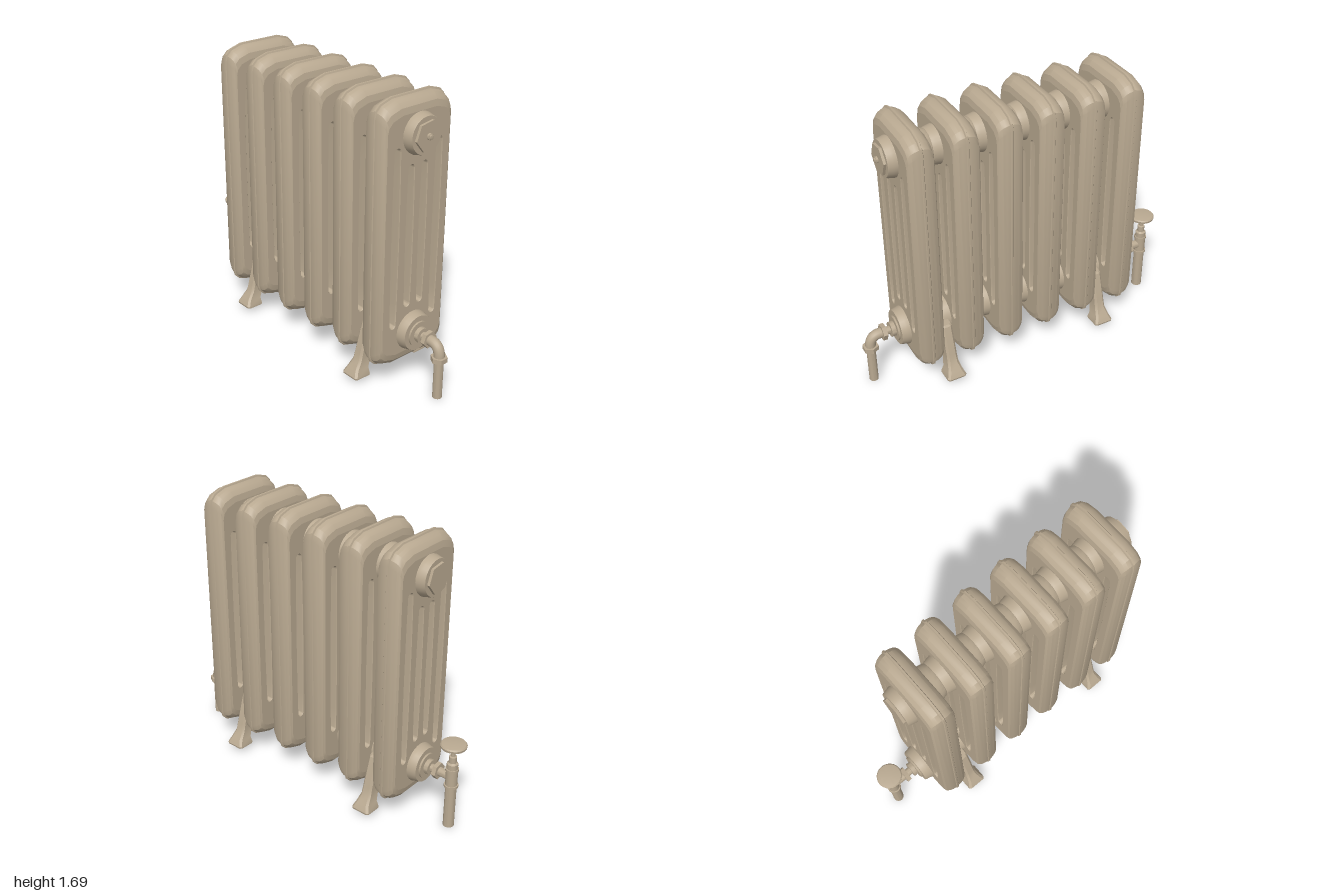
import * as THREE from 'three';
import { toCreasedNormals } from 'three/addons/utils/BufferGeometryUtils.js';

const iron = new THREE.MeshStandardMaterial({ color: 0xb9a991 });
iron.name = 'warm grey iron';

const CX = 0.018, PITCH = 0.256, COUNT = 6, HALF = 0.078;
const HUB_Y = [1.49, 0.333];
const MID_Y = 0.91;

function add(parent, name, geometry, x = 0, y = 0, z = 0) {
  const mesh = new THREE.Mesh(geometry, iron);
  mesh.name = name;
  mesh.position.set(x, y, z);
  parent.add(mesh);
  return mesh;
}

// Solid of revolution; points are [radius, distance along axis]
function turned(points, alongX = false, sides = 28) {
  const g = new THREE.LatheGeometry(points.map(p => new THREE.Vector2(p[0], p[1])), sides);
  if (alongX) g.rotateZ(-Math.PI / 2);
  return toCreasedNormals(g, 0.5);
}

// Skin over equal-length rings of [x, y, z]
function loft(rings, capped) {
  const n = rings[0].length, index = [];
  for (let i = 0; i < rings.length - 1; i++) {
    for (let j = 0; j < n; j++) {
      const a = i * n + j, b = i * n + (j + 1) % n;
      index.push(a, b, b + n, a, b + n, a + n);
    }
  }
  const last = (rings.length - 1) * n;
  for (let j = 1; capped && j < n - 1; j++) {
    index.push(0, j + 1, j, last, last + j, last + j + 1);
  }
  const g = new THREE.BufferGeometry();
  g.setAttribute('position', new THREE.Float32BufferAttribute(rings.flat(2), 3));
  g.setIndex(index);
  return toCreasedNormals(g, 0.45);
}

// Rounded-corner outline of a section, inset separately in depth and height
function outline(insetZ, insetY) {
  const corner = [[0.25, 0.69], [0.24, 0.727], [0.21, 0.757], [0.135, 0.78]];
  const back = corner.slice().reverse();
  const all = [
    ...corner, ...back.map(([u, v]) => [-u, v]),
    ...corner.map(([u, v]) => [-u, -v]), ...back.map(([u, v]) => [u, -v]),
  ];
  return all.map(([u, v]) => [u * (1 - insetZ / 0.25), v * (1 - insetY / 0.78)]);
}

// Outer skin with a thin casting ridge round the middle
function sectionShell() {
  const half = [
    [0.005, 0, 0], [0.009, 0.005, 0.009], [0.03, 0.007, 0.014], [0.05, 0.011, 0.024],
    [0.07, 0.019, 0.048], [HALF, 0.03, 0.083],
  ];
  const profile = [...half.slice().reverse().map(([x, a, b]) => [-x, a, b]), ...half];
  return loft(profile.map(([x, a, b]) => outline(a, b).map(([u, v]) => [x, v, -u])), false);
}

// Side faces with four long slots, slightly fuller at mid height, cut right through
function sectionCore() {
  const shape = new THREE.Shape(outline(0.03, 0.083).map(p => new THREE.Vector2(...p)));
  const slots = [[0.148, 0.385, 1.44], [0.047, 0.49, 1.33]];
  const r = 0.023, swell = 0.034;
  for (const [z, low, high] of slots) {
    for (const s of [-1, 1]) {
      const c = s * z, top = high - MID_Y - r, bottom = low - MID_Y + r, mid = (top + bottom) / 2;
      const hole = new THREE.Path();
      hole.absarc(c, top, r, 0, Math.PI, false);
      hole.quadraticCurveTo(c - swell, mid, c - r, bottom);
      hole.absarc(c, bottom, r, Math.PI, 2 * Math.PI, false);
      hole.quadraticCurveTo(c + swell, mid, c + r, top);
      shape.holes.push(hole);
    }
  }
  const bevel = 0.012;
  const g = new THREE.ExtrudeGeometry(shape, {
    depth: 2 * (HALF - bevel), bevelThickness: bevel, bevelSize: 0.004,
    bevelSegments: 2, curveSegments: 8,
  });
  g.translate(0, 0, -(HALF - bevel));
  g.rotateY(Math.PI / 2);
  return toCreasedNormals(g, 0.5);
}

// One cradle leg, flaring down to a pad
function footLeg() {
  // [y, inner z, outer z, half width]
  const rows = [
    [0.03, 0.175, 0.275, 0.06], [0.04, 0.172, 0.277, 0.06], [0.075, 0.172, 0.258, 0.045],
    [0.12, 0.148, 0.225, 0.034], [0.17, 0.115, 0.212, 0.032], [0.3, 0.07, 0.175, 0.032],
    [0.345, 0.07, 0.16, 0.032], [0.355, 0.07, 0.15, 0.028],
  ];
  const c = 0.012;
  return loft(rows.map(([y, a, b, w]) => [
    [-w, y, a], [-w, y, b - c], [-w + c, y, b], [w - c, y, b], [w, y, b - c], [w, y, a],
  ]), true);
}

// Arched bar joining the two legs under the hub
function footBar() {
  const s = new THREE.Shape();
  s.moveTo(-0.15, 0.13);
  s.quadraticCurveTo(0, 0.25, 0.15, 0.13);
  s.lineTo(0.18, 0.22);
  s.lineTo(0.12, 0.28);
  s.lineTo(-0.12, 0.28);
  s.lineTo(-0.18, 0.22);
  s.closePath();
  const g = new THREE.ExtrudeGeometry(s, { depth: 0.056, bevelEnabled: false });
  g.translate(0, 0, -0.028);
  g.rotateY(Math.PI / 2);
  return toCreasedNormals(g, 0.5);
}

// Six-sided nut along x
function hexNut(r, length) {
  const g = new THREE.CylinderGeometry(r, r, length, 6);
  g.rotateZ(-Math.PI / 2);
  g.rotateX(0.15);
  return toCreasedNormals(g, 0.5);
}

export function createModel() {
  const model = new THREE.Group();
  model.name = 'columnRadiator';

  // Sections
  const shell = sectionShell(), core = sectionCore();
  const xs = Array.from({ length: COUNT }, (_, i) => CX + (i - (COUNT - 1) / 2) * PITCH);
  for (const x of xs) {
    const section = new THREE.Group();
    section.name = 'section';
    section.position.set(x, MID_Y, 0);
    add(section, 'sectionShell', shell);
    add(section, 'sectionCore', core);
    model.add(section);
  }

  // Hubs between neighbouring sections
  const hub = turned([
    [0.113, -0.055], [0.111, -0.045], [0.107, -0.025], [0.102, -0.004], [0.099, 0],
    [0.102, 0.004], [0.107, 0.025], [0.111, 0.045], [0.113, 0.055],
  ], true);
  for (const y of HUB_Y) {
    for (let i = 0; i < COUNT - 1; i++) add(model, 'hub', hub, (xs[i] + xs[i + 1]) / 2, y);
  }

  // End bosses, plugs and bushes
  const boss = turned([
    [0.116, -0.01], [0.116, 0.008], [0.111, 0.025], [0.107, 0.045], [0.104, 0.053], [0, 0.053],
  ], true);
  const bush = turned([
    [0.075, 0.045], [0.075, 0.064], [0.045, 0.064], [0.045, 0.09], [0.024, 0.09],
    [0.024, 0.165], [0, 0.165],
  ], true);
  const plug = hexNut(0.087, 0.025), unionNut = hexNut(0.05, 0.026);
  for (const side of [1, -1]) {
    const end = new THREE.Group();
    end.name = side > 0 ? 'leftEndFittings' : 'rightEndFittings';
    end.position.x = CX + side * (2.5 * PITCH + HALF);
    end.rotation.y = side > 0 ? 0 : Math.PI;
    for (const y of HUB_Y) add(end, 'endBoss', boss, 0, y);
    add(end, 'hexPlug', plug, 0.056, HUB_Y[0]);
    add(end, 'pipeBush', bush, 0, 0.33);
    add(end, 'unionNut', unionNut, 0.131, 0.33);
    model.add(end);
  }

  // Air vent
  add(model, 'airVent', turned([
    [0.018, 0], [0.018, 0.02], [0.013, 0.022], [0.013, 0.028], [0, 0.028],
  ], true, 14), 0.796, HUB_Y[0]);

  // Return elbow and drop pipe
  const bend = new THREE.CurvePath();
  bend.add(new THREE.LineCurve3(new THREE.Vector3(0.86, 0.33, 0), new THREE.Vector3(0.89, 0.33, 0)));
  bend.add(new THREE.QuadraticBezierCurve3(new THREE.Vector3(0.89, 0.33, 0),
    new THREE.Vector3(0.952, 0.33, 0), new THREE.Vector3(0.952, 0.26, 0)));
  add(model, 'elbow', new THREE.TubeGeometry(bend, 16, 0.031, 16));
  const elbowNut = new THREE.CylinderGeometry(0.048, 0.048, 0.028, 6);
  add(model, 'elbowNut', toCreasedNormals(elbowNut, 0.5), 0.952, 0.248);
  add(model, 'returnPipe', turned([[0, 0], [0.027, 0], [0.027, 0.25]], false, 20), 0.952);

  // Supply valve
  const valve = new THREE.Group();
  valve.name = 'valve';
  valve.position.x = -0.925;
  add(valve, 'supplyPipe', turned([[0, 0], [0.032, 0], [0.032, 0.27]], false, 20));
  add(valve, 'valveBody', turned([
    [0.032, 0.268], [0.041, 0.268], [0.041, 0.282], [0.034, 0.282], [0.034, 0.375],
    [0.038, 0.375], [0.038, 0.39], [0.032, 0.39], [0.032, 0.422], [0.022, 0.43],
    [0.022, 0.468], [0.013, 0.472], [0.013, 0.53],
  ], false, 20));
  const branch = new THREE.CylinderGeometry(0.026, 0.026, 0.09, 18);
  branch.rotateZ(Math.PI / 2);
  add(valve, 'valveBranch', toCreasedNormals(branch, 0.5), 0.045, 0.33);
  add(valve, 'handwheel', turned([
    [0, 0.527], [0.062, 0.527], [0.073, 0.532], [0.075, 0.545], [0.069, 0.552],
    [0.05, 0.555], [0, 0.556],
  ], false, 32));
  model.add(valve);

  // Cradle feet
  const leg = footLeg(), bar = footBar();
  for (const i of [0, 4]) {
    const foot = new THREE.Group();
    foot.name = 'foot';
    foot.position.x = (xs[i] + xs[i + 1]) / 2;
    add(foot, 'frontLeg', leg);
    add(foot, 'backLeg', leg).rotation.y = Math.PI;
    add(foot, 'footBar', bar);
    model.add(foot);
  }
  return model;
}
